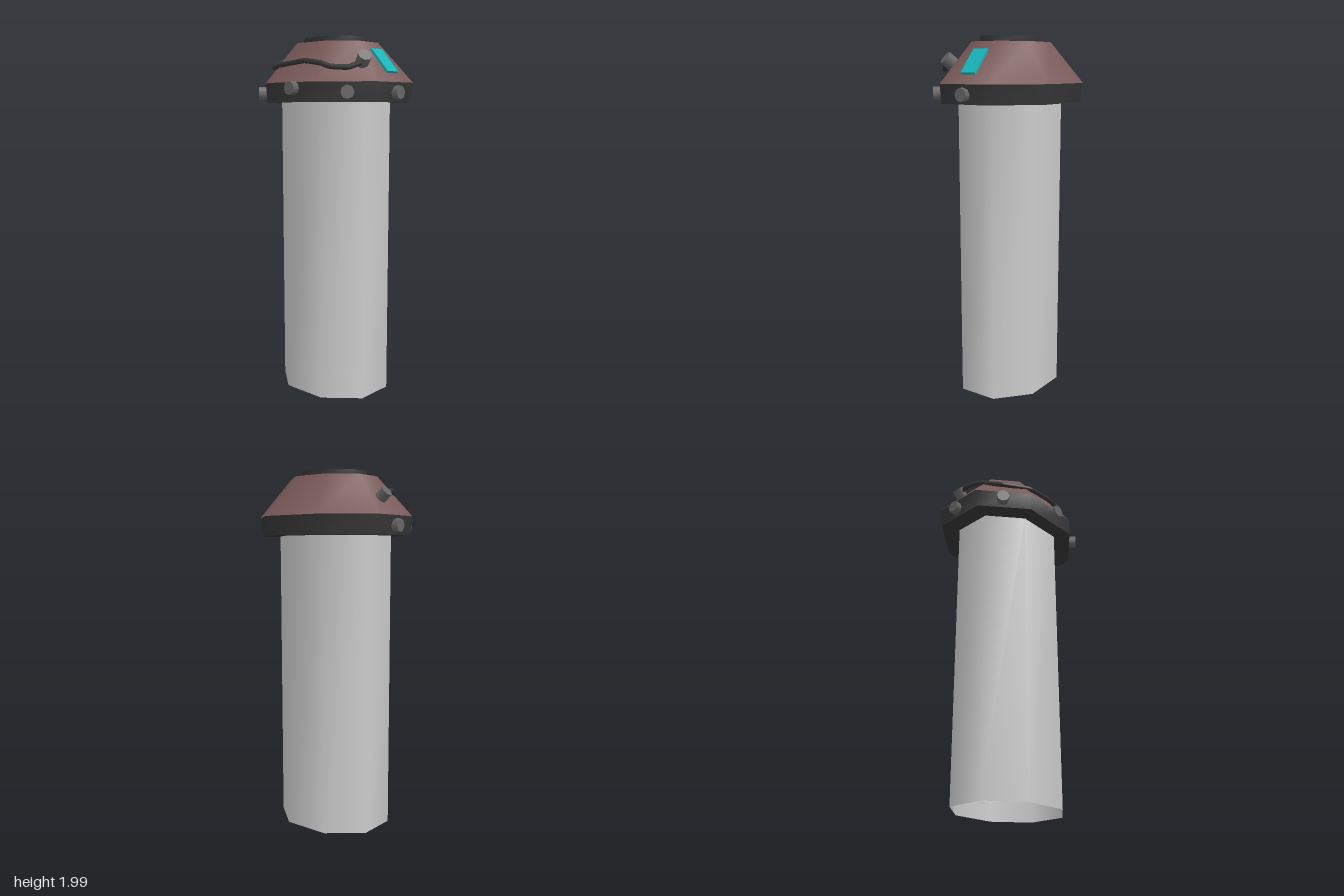
import * as THREE from 'three';

const mat = (color, side = THREE.FrontSide) => new THREE.MeshStandardMaterial({ color, side });
const GREY = 0xcccccc, SHELL = 0x7a5a5a, DARK = 0x363636, METAL = 0x666666, TEAL = 0x16b5b8;

// Eight-sided outline: half width, half depth, z centre, height
const ring = (hx, hz, zc, y) => {
  const c = 0.425;
  return [[1, c], [c, 1], [-c, 1], [-1, c], [-1, -c], [-c, -1], [c, -1], [1, -c]]
    .map(([x, z]) => [x * hx, y, z * hz + zc]);
};

// Smooth band of quads between two outlines
function band(name, lower, upper, material) {
  const n = lower.length, index = [];
  for (let i = 0; i < n; i++) {
    const j = (i + 1) % n;
    index.push(i, i + n, j, j, i + n, j + n);
  }
  const geo = new THREE.BufferGeometry();
  geo.setAttribute('position', new THREE.Float32BufferAttribute([...lower, ...upper].flat(), 3));
  geo.setIndex(index);
  geo.computeVertexNormals();
  const mesh = new THREE.Mesh(geo, material);
  mesh.name = name;
  return mesh;
}

// Short stud whose axis points along a direction
function stud(name, position, direction, radius, length, material) {
  const mesh = new THREE.Mesh(new THREE.CylinderGeometry(radius, radius, length, 8), material);
  mesh.name = name;
  mesh.position.set(...position);
  mesh.quaternion.setFromUnitVectors(new THREE.Vector3(0, 1, 0),
    new THREE.Vector3(...direction).normalize());
  return mesh;
}

export function createModel() {
  const model = new THREE.Group();
  model.name = 'domedColumn';
  const shell = mat(SHELL), dark = mat(DARK), metal = mat(METAL);

  // Open-bottomed column
  model.add(band('column', ring(0.31, 0.257, -0.01, 0.01), ring(0.31, 0.257, -0.01, 1.66),
    mat(GREY, THREE.DoubleSide)));

  // Head: dark collar, sloping shell, stepped top
  const neck = ring(0.3, 0.25, -0.01, 1.65);
  const collarLow = ring(0.412, 0.348, -0.014, 1.65);
  const collarTop = ring(0.425, 0.355, -0.02, 1.753);
  const roofTop = ring(0.237, 0.196, -0.018, 1.97);
  const capLow = ring(0.182, 0.15, -0.018, 1.97);
  const capTop = ring(0.182, 0.15, -0.018, 2.0);
  const capCentre = ring(0, 0, -0.018, 2.0);
  const head = new THREE.Group();
  head.name = 'head';
  head.add(
    band('collarUnderside', neck, collarLow, dark),
    band('collar', collarLow, collarTop, dark),
    band('roof', collarTop, roofTop, shell),
    band('topRim', roofTop, capLow, dark),
    band('capWall', capLow, capTop, dark),
    band('cap', capTop, capCentre, shell)
  );
  model.add(head);

  // Studs around the collar
  const studs = new THREE.Group();
  studs.name = 'collarStuds';
  studs.add(stud('frontStud', [0.025, 1.722, 0.345], [0, 0, 1], 0.036, 0.06, metal));
  for (const s of [1, -1]) {
    studs.add(
      stud('sideStud', [s * 0.425, 1.7, -0.025], [s, 0, 0], 0.036, 0.055, metal),
      stud('cornerStud', [s * 0.31, 1.7, 0.238], [s * 0.66, 0, 0.75], 0.036, 0.06, metal)
    );
  }
  model.add(studs);

  // Coloured window lying on the left slope
  const pane = new THREE.Mesh(new THREE.BoxGeometry(0.165, 0.014, 0.09), mat(TEAL));
  pane.name = 'window';
  pane.position.set(0.336, 1.866, -0.03);
  pane.rotation.z = -0.83;
  model.add(pane);

  // Cable wrapping round the front, with a connector at each end
  const path = new THREE.CatmullRomCurve3([
    [-0.37, 1.86, -0.05], [-0.365, 1.882, 0.005], [-0.335, 1.888, 0.065], [-0.265, 1.843, 0.2],
    [-0.12, 1.85, 0.28], [0.05, 1.865, 0.279], [0.16, 1.848, 0.273], [0.21, 1.83, 0.262],
    [0.29, 1.825, 0.21], [0.335, 1.85, 0.16]
  ].map(p => new THREE.Vector3(...p)), false, 'catmullrom', 0.15);
  const cable = new THREE.Mesh(new THREE.TubeGeometry(path, 60, 0.014, 8), dark);
  cable.name = 'cable';
  model.add(cable,
    stud('rightConnector', [-0.365, 1.855, -0.062], [-0.75, 0.66, 0], 0.034, 0.065, metal),
    stud('leftConnector', [0.332, 1.867, 0.138], [0.66, 0.62, 0.4], 0.037, 0.065, metal));

  return model;
}
